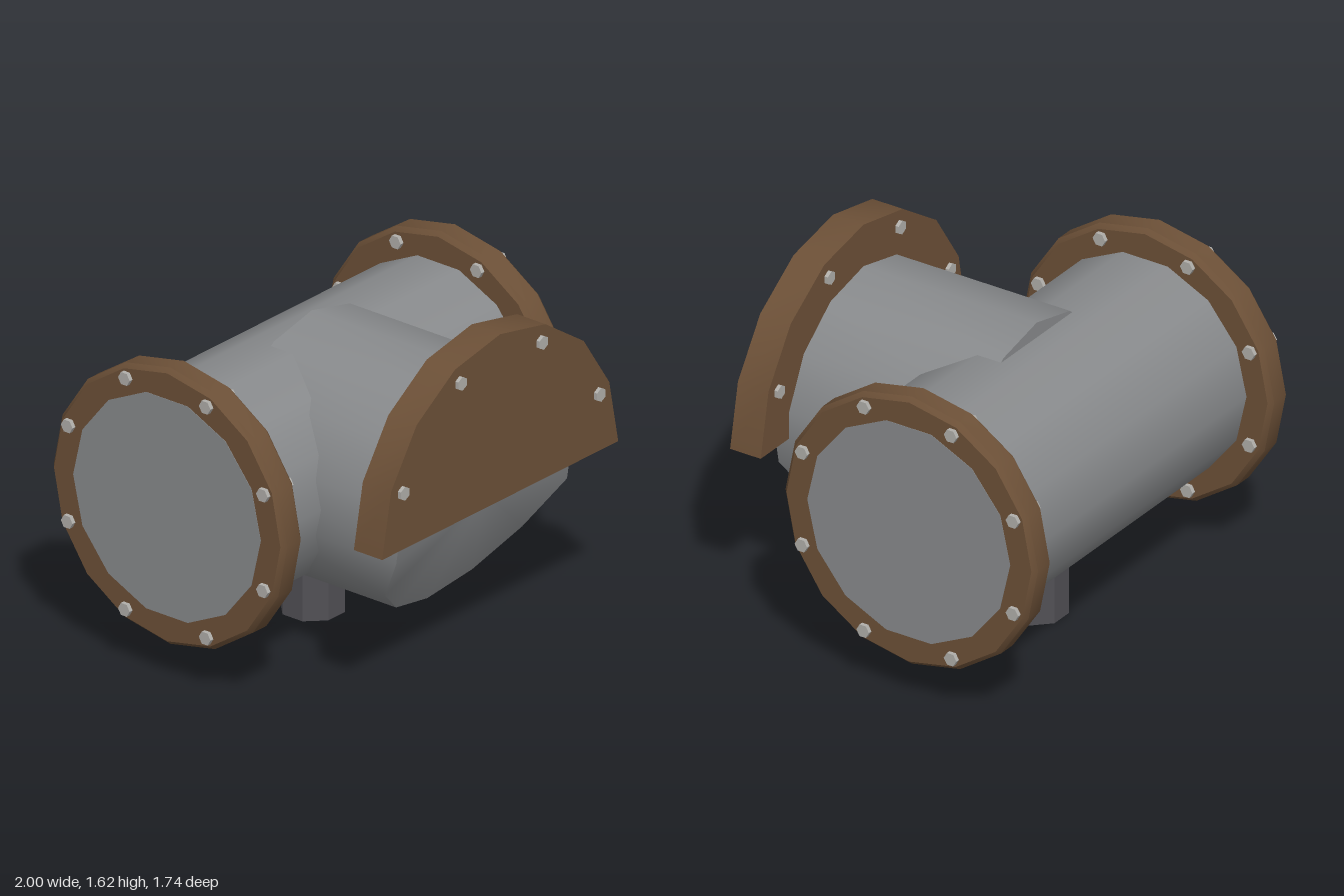
import * as THREE from 'three';
import { toCreasedNormals } from 'three/addons/utils/BufferGeometryUtils.js';

const AXIS_Y = 0.83; // height of both pipe axes
const PIPE_Z = -0.205; // depth of the cross pipe axis

export function createModel() {
  const group = new THREE.Group();
  const mat = (name, color, flatShading = false) => {
    const m = new THREE.MeshStandardMaterial({ color, flatShading });
    m.name = name;
    return m;
  };
  const steel = mat('pipe grey', 0x888a8c);
  const rust = mat('flange brown', 0x6c5037);
  const boltMat = mat('bolt light grey', 0xb0aeaa, true);
  const dark = mat('drain dark grey', 0x515055, true);

  const add = (name, geo, material, x = 0, y = 0, z = 0) => {
    const mesh = new THREE.Mesh(geo, material);
    mesh.name = name;
    mesh.position.set(x, y, z);
    group.add(mesh);
    return mesh;
  };

  // Cross pipe, its end discs just proud of the flanges
  const pipe = new THREE.CylinderGeometry(0.53, 0.53, 1.964, 14).rotateZ(-Math.PI / 2);
  add('crossPipe', pipe, steel, 0, AXIS_Y, PIPE_Z);

  // Bevelled round flanges with a ring of eight bolts at each end
  const profile = [[0, -0.0675], [0.64, -0.0675], [0.66, -0.045], [0.66, 0.045], [0.64, 0.0675], [0, 0.0675]]
    .map(([r, y]) => new THREE.Vector2(r, y));
  const flange = toCreasedNormals(new THREE.LatheGeometry(profile, 16).rotateZ(-Math.PI / 2), 0.5);
  const sideBolt = new THREE.CylinderGeometry(0.033, 0.033, 0.175, 6).rotateZ(Math.PI / 2);
  for (const side of [-1, 1]) {
    const label = side > 0 ? 'left' : 'right';
    add(label + 'Flange', flange, rust, side * 0.9125, AXIS_Y, PIPE_Z);
    for (let i = 0; i < 8; i++) {
      const a = (i + 0.5) * Math.PI / 4;
      add(label + 'FlangeBolt', sideBolt, boltMat, side * 0.9125,
        AXIS_Y + 0.597 * Math.sin(a), PIPE_Z + 0.597 * Math.cos(a));
    }
  }

  // Front branch pipe, with the lower part of its mouth cut back on a slant
  let branch = new THREE.CylinderGeometry(0.59, 0.59, 1, 14).rotateX(Math.PI / 2);
  const pos = branch.attributes.position;
  for (let i = 0; i < pos.count; i++) {
    const y = pos.getY(i);
    const slant = 0.75 + (y + 0.131) * 0.67;
    const mouth = y < -0.12 ? slant : Math.min(0.79, 0.77 + y * 0.15);
    pos.setZ(i, pos.getZ(i) > 0 ? mouth : -0.21);
  }
  branch = toCreasedNormals(branch, 0.55);
  add('branchPipe', branch, steel, 0, AXIS_Y, 0);

  // Half-round flange on the branch
  const half = new THREE.Shape();
  for (let i = 0; i <= 8; i++) {
    const a = i * Math.PI / 8;
    const x = 0.795 * Math.cos(a), y = 0.795 * Math.sin(a);
    if (i === 0) half.moveTo(x, y);
    else half.lineTo(x, y);
  }
  half.closePath();
  const halfGeo = new THREE.ExtrudeGeometry(half, { depth: 0.16, bevelEnabled: false });
  add('halfFlange', toCreasedNormals(halfGeo, 0.5), rust, 0, AXIS_Y, 0.695);

  const frontBolt = new THREE.CylinderGeometry(0.033, 0.033, 0.195, 6).rotateX(Math.PI / 2);
  for (let i = 0; i < 4; i++) {
    const a = (i + 0.5) * Math.PI / 4;
    add('halfFlangeBolt', frontBolt, boltMat, 0.715 * Math.cos(a), AXIS_Y + 0.715 * Math.sin(a), 0.775);
  }

  // Octagonal drain stub under the cross pipe
  const stub = new THREE.CylinderGeometry(0.147, 0.147, 0.42, 8).rotateY(Math.PI / 8);
  add('drainStub', stub, dark, 0, 0.21, PIPE_Z);

  return group;
}
